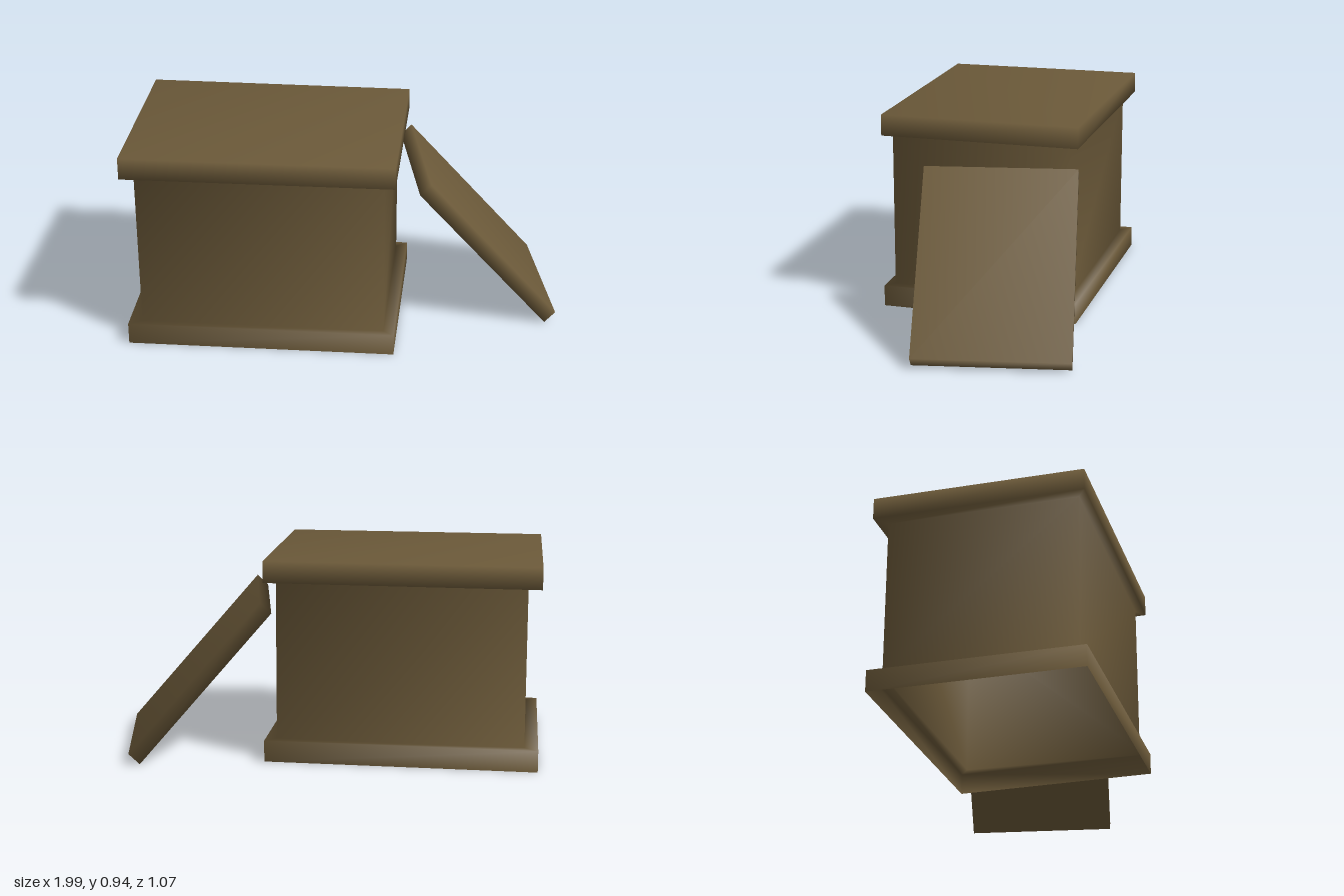
import * as THREE from 'three';

// Smooth shell through four-cornered rings, counterclockwise seen from the last ring
function loft(rings, capStart) {
  const index = [];
  for (let r = 0; r < rings.length - 1; r++) {
    for (let i = 0; i < 4; i++) {
      const j = (i + 1) % 4;
      const a = r * 4 + i, b = r * 4 + j, c = b + 4, d = a + 4;
      index.push(a, b, c, a, c, d);
    }
  }
  const e = (rings.length - 1) * 4;
  index.push(e, e + 1, e + 2, e, e + 2, e + 3);
  if (capStart) index.push(2, 1, 0, 3, 2, 0);
  const geometry = new THREE.BufferGeometry();
  geometry.setAttribute('position', new THREE.Float32BufferAttribute(rings.flat(2), 3));
  geometry.setIndex(index);
  geometry.computeVertexNormals();
  return geometry;
}

export function createModel() {
  const group = new THREE.Group();
  const wood = new THREE.MeshStandardMaterial({ color: 0x6b5939, side: THREE.DoubleSide });
  wood.name = 'brown wood';

  // Slightly skewed outlines as [x, z], front left of the plan first
  const rim = [[-0.99, 0.525], [0.245, 0.53], [0.258, -0.412], [-0.998, -0.435]];
  const wall = [[-0.93, 0.485], [0.195, 0.49], [0.205, -0.368], [-0.935, -0.385]];
  const ring = (outline, y) => outline.map(([x, z]) => [x, y, z]);

  // Chest: flanged base open underneath, walls and overhanging top
  const chest = new THREE.Mesh(loft([
    ring(rim, 0), ring(rim, 0.1),
    ring(wall, 0.1), ring(wall, 0.84),
    ring(rim, 0.84), ring(rim, 0.94),
  ], false), wood);
  chest.name = 'chest';
  group.add(chest);

  // Loose panel leaning against the side
  const corner = new THREE.Vector3(0.22, 0.7, -0.41);
  const width = new THREE.Vector3(0.125, 0, 0.695);
  const slope = new THREE.Vector3(0.6, -0.7, -0.115);
  const thickness = new THREE.Vector3(0.05, 0.05, -0.01);
  const panelRing = (t) => [[0, 0], [1, 0], [1, 1], [0, 1]].map(([w, s]) =>
    corner.clone().addScaledVector(width, w).addScaledVector(slope, s)
      .addScaledVector(thickness, t).toArray());
  const panel = new THREE.Mesh(loft([panelRing(0), panelRing(1)], true), wood);
  panel.name = 'leaningPanel';
  group.add(panel);

  return group;
}
